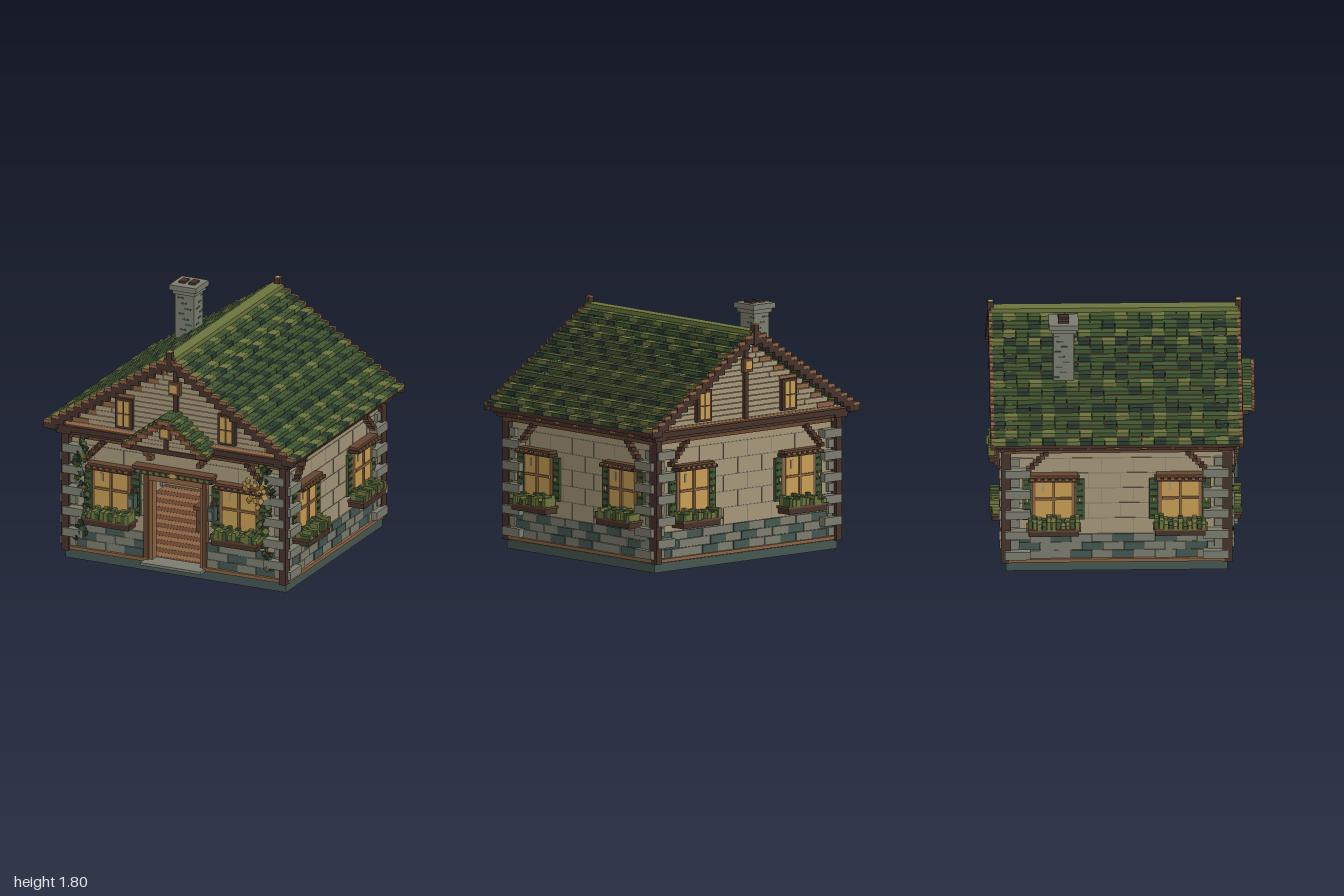
import * as THREE from 'three';
import { mergeGeometries } from 'three/addons/utils/BufferGeometryUtils.js';

const COLORS = {
  plaster: 0xa8987a, darkWood: 0x47322b, brownWood: 0x674630, lightWood: 0x8e6444, stone: 0x7d7e70,
  slate: 0x475853, amber: 0xc99f55, green: 0x425632, darkGreen: 0x2b3b2e, olive: 0x6d753e,
};

export function createModel() {
  const mats = {};
  for (const [name, color] of Object.entries(COLORS)) {
    mats[name] = new THREE.MeshStandardMaterial({ color });
    mats[name].name = name;
  }
  const bins = new Map();
  let M = new THREE.Matrix4(); // placement of the part being built
  const put = (part, mat, geo) => {
    const key = part + '|' + mat;
    if (!bins.has(key)) bins.set(key, []);
    bins.get(key).push(geo.applyMatrix4(M));
  };
  // block given by its extents
  const block = (part, mat, x0, x1, y0, y1, z0, z1) => {
    if (x1 < x0) [x0, x1] = [x1, x0];
    if (z1 < z0) [z0, z1] = [z1, z0];
    put(part, mat, new THREE.BoxGeometry(x1 - x0, y1 - y0, z1 - z0)
      .translate((x0 + x1) / 2, (y0 + y1) / 2, (z0 + z1) / 2));
  };
  let seed = 7;
  const rnd = () => (seed = (seed * 16807) % 2147483647) / 2147483647;
  const face = (angle, dist) => {
    M = new THREE.Matrix4().makeRotationY(angle).multiply(new THREE.Matrix4().makeTranslation(0, 0, dist));
  };
  const home = () => { M = new THREE.Matrix4(); };
  const HX = 0.86, HZ = 0.775;

  // window with shutters, hood and flower box, on the plane z = 0
  function windowUnit(u) {
    block('windowFrame', 'lightWood', u - 0.155, u + 0.155, 0.4, 0.725, 0, 0.022);
    block('windowPane', 'amber', u - 0.13, u + 0.13, 0.42, 0.715, 0.02, 0.028);
    block('windowFrame', 'lightWood', u - 0.009, u + 0.009, 0.42, 0.715, 0.02, 0.042);
    block('windowFrame', 'lightWood', u - 0.13, u + 0.13, 0.562, 0.58, 0.02, 0.04);
    block('windowGlint', 'plaster', u - 0.085, u - 0.065, 0.63, 0.69, 0.028, 0.032);
    block('windowHood', 'darkWood', u - 0.185, u + 0.185, 0.722, 0.745, 0, 0.085);
    block('windowHood', 'brownWood', u - 0.175, u + 0.175, 0.745, 0.765, 0, 0.065);
    for (let i = 0; i < 7; i++) block('windowHood', 'lightWood', u - 0.17 + i * 0.05, u - 0.14 + i * 0.05, 0.735, 0.755, 0.08, 0.095);
    for (const s of [-1, 1]) {
      block('shutter', 'green', u + s * 0.158, u + s * 0.222, 0.4, 0.715, 0, 0.022);
      for (let i = 0; i < 6; i++) block('shutterSlat', 'darkGreen', u + s * 0.168, u + s * 0.212, 0.42 + i * 0.05, 0.435 + i * 0.05, 0.02, 0.028);
      block('shutterKnob', 'amber', u + s * 0.18, u + s * 0.198, 0.545, 0.57, 0.02, 0.034);
    }
    block('flowerBox', 'darkWood', u - 0.18, u + 0.18, 0.31, 0.355, 0, 0.12);
    block('flowerBox', 'brownWood', u - 0.195, u + 0.195, 0.35, 0.366, 0, 0.127);
    for (let i = 0; i < 11; i++) {
      const x = u - 0.185 + i * 0.034, h = 0.39 + rnd() * 0.045;
      block('flowerBoxPlants', i % 3 ? 'olive' : 'green', x, x + 0.03, 0.36, h, 0.06, 0.115 + rnd() * 0.022);
      block('flowerBoxPlants', i % 2 ? 'green' : 'olive', x, x + 0.03, 0.36, h + 0.015, 0.02, 0.06);
    }
  }

  // one wall: plaster with joints, stone plinth, braces and top beam
  function wall(angle, dist, half, windows, brace, segments) {
    face(angle, dist);
    for (const [a, b] of segments) {
      block('wall', 'plaster', a, b, 0.07, 0.97, -0.05, 0);
      block('wallSill', 'lightWood', a, b, 0.07, 0.095, 0, 0.035);
      for (let r = 0; r < 5; r++) {
        const y = 0.4 + r * 0.118;
        block('wallJoint', 'stone', a, b, y, y + 0.006, 0, 0.003);
        for (let x = -half + (r % 2 ? 0.11 : 0.2); x < half; x += 0.23)
          if (x > a && x < b) block('wallJoint', 'stone', x, x + 0.005, y - 0.118, y, 0, 0.003);
      }
      for (let r = 0; r < 3; r++)
        for (let i = 0; i < 13; i++) {
          const x = -half - (r % 2) * 0.075 + i * 0.15;
          const x0 = Math.max(x, a), x1 = Math.min(x + 0.147, b), y = 0.095 + r * 0.063;
          if (x1 - x0 > 0.01) block('plinthStone', (i * 2 + r * 3) % 5 < 2 ? 'slate' : 'stone', x0, x1, y, y + 0.06, 0, 0.012 + (i + r) % 2 * 0.006);
        }
    }
    for (const u of windows) windowUnit(u);
    for (const s of [-1, 1])
      for (let i = 0; i < 7; i++) {
        const x = brace - i * 0.024, y = 0.76 + i * 0.025;
        block('wallBrace', i % 2 ? 'brownWood' : 'darkWood', s * (x - 0.018), s * (x + 0.018), y, y + 0.03, 0, 0.045);
      }
    block('topBeam', 'brownWood', -half - 0.04, half + 0.04, 0.93, 0.965, -0.05, 0.035);
    block('topBeam', 'darkWood', -half - 0.08, half + 0.08, 0.962, 1.0, -0.05, 0.065);
  }
  wall(0, HZ, HX, [-0.51, 0.51], 0.72, [[-HX, -0.22], [0.22, HX]]);
  wall(Math.PI, HZ, HX, [-0.51, 0.51], 0.72, [[-HX, HX]]);
  for (const s of [-1, 1]) wall(s * Math.PI / 2, HX, HZ, [-0.455, 0.455], 0.655, [[-HZ, HZ]]);

  // foundation, floor and ceiling
  home();
  block('foundation', 'slate', -0.88, 0.88, 0, 0.065, -0.795, 0.795);
  for (let i = 0; i < 19; i++)
    block('floorPlank', i % 2 ? 'lightWood' : 'brownWood', -0.82, 0.82, 0.06, 0.078, -0.76 + i * 0.08, -0.682 + i * 0.08);
  block('ceiling', 'brownWood', -0.84, 0.84, 0.945, 0.965, -0.76, 0.76);

  // corner posts and quoins
  for (const sx of [-1, 1]) for (const sz of [-1, 1]) {
    block('cornerPost', 'darkWood', sx * 0.84, sx * 0.895, 0.065, 0.965, sz * 0.76, sz * 0.832);
    for (let i = 0; i < 10; i++) {
      const y = 0.1 + i * 0.08, long = i % 2;
      block('quoin', 'stone', sx * (long ? 0.72 : 0.79), sx * (long ? 0.885 : 0.92), y, y + 0.062, sz * (long ? 0.7 : 0.62), sz * (long ? 0.845 : 0.805));
    }
  }

  // gables with planks, small windows and a lamp
  for (const angle of [0, Math.PI]) {
    face(angle, HZ);
    const tri = new THREE.Shape([[-0.88, 1], [0.88, 1], [0, 1.59]].map(p => new THREE.Vector2(...p)));
    put('gableBacking', 'brownWood', new THREE.ExtrudeGeometry(tri, { depth: 0.02, bevelEnabled: false }).translate(0, 0, -0.04));
    for (let k = 0; k < 15; k++) {
      const w = 0.92 - 0.0605 * k, y = 1.0 + 0.039 * k, e = Math.min(w * 0.45, 0.1 + (k % 3) * 0.06);
      block('gablePlank', 'plaster', -w + e, w - e, y, y + 0.035, -0.03, 0.005);
      for (const s of [-1, 1]) block('gableEdgePlank', k % 2 ? 'lightWood' : 'plaster', s * w, s * (w - e), y, y + 0.035, -0.03, 0.01);
    }
    block('gableBeam', 'darkWood', -0.95, 0.95, 0.985, 1.025, -0.04, 0.085);
    block('gableBeam', 'lightWood', -0.93, 0.93, 1.02, 1.034, -0.04, 0.07);
    block('gablePost', 'darkWood', -0.017, 0.017, 1.02, 1.62, 0, 0.03);
    block('gableLamp', 'brownWood', -0.045, 0.045, 1.375, 1.475, 0.02, 0.05);
    block('gableLamp', 'amber', -0.03, 0.03, 1.395, 1.455, 0.05, 0.058);
    for (const u of [-0.41, 0.41]) {
      block('gableWindowFrame', 'darkWood', u - 0.07, u + 0.07, 1.055, 1.285, 0, 0.035);
      for (const sx of [-1, 1]) for (const sy of [0, 1])
        block('gableWindowPane', 'amber', u + sx * 0.005, u + sx * 0.046, 1.075 + sy * 0.1, 1.165 + sy * 0.1, 0.03, 0.041);
    }
  }

  // main roof: stepped tile courses, verge boards and eaves
  home();
  for (const s of [-1, 1]) {
    for (let i = 0; i < 16; i++) {
      const x = 1 - i * 0.06, y = 1.035 + i * 0.039;
      for (let j = 0; j < 20; j++) {
        const k = (i * 7 + j * 4 + (i * j) % 3) % 12, z = -0.89 + j * 0.089;
        block('roofTile', k < 2 ? 'olive' : k < 5 ? 'darkGreen' : 'green', s * x, s * (x - 0.068), y, y + 0.032, z, z + 0.0875);
      }
      for (const sz of [-1, 1]) {
        block('vergeBoard', 'darkWood', s * x, s * (x - 0.1), y - 0.03, y + 0.012, sz * 0.875, sz * 0.91);
        block('vergeCap', 'lightWood', s * x, s * (x - 0.075), y + 0.012, y + 0.035, sz * 0.88, sz * 0.907);
      }
    }
    block('eaveBoard', 'darkWood', s * 0.92, s * 0.965, 0.998, 1.036, -0.9, 0.9);
    for (let j = 0; j < 9; j++) block('rafterTail', 'lightWood', s * 0.85, s * 0.94, 0.975, 1.0, -0.82 + j * 0.2, -0.78 + j * 0.2);
  }
  block('ridgeCap', 'olive', -0.045, 0.045, 1.655, 1.688, -0.89, 0.89);
  for (const s of [-1, 1]) {
    block('ridgePost', 'darkWood', -0.022, 0.022, 1.58, 1.73, s * 0.87, s * 0.912);
    block('ridgePost', 'brownWood', -0.045, 0.045, 1.645, 1.675, s * 0.872, s * 0.908);
    block('ridgePostCap', 'amber', -0.018, 0.018, 1.73, 1.736, s * 0.873, s * 0.909);
  }

  // chimney
  const cz = -0.375;
  block('chimney', 'stone', -0.535, -0.385, 1.25, 1.74, cz - 0.075, cz + 0.075);
  for (let i = 0; i < 9; i++) for (const s of [-1, 1]) {
    const x = -0.52 + (i * 0.05) % 0.08, y = 1.36 + i * 0.04;
    block('chimneyBrick', 'slate', x, x + 0.05, y, y + 0.012, cz + s * 0.07, cz + s * 0.078);
    block('chimneyBrick', 'slate', -0.46 + s * 0.07, -0.46 + s * 0.078, y, y + 0.012, cz + x + 0.44, cz + x + 0.49);
  }
  block('chimneyCap', 'stone', -0.55, -0.37, 1.715, 1.745, cz - 0.09, cz + 0.09);
  block('chimneyCap', 'stone', -0.568, -0.355, 1.745, 1.785, cz - 0.107, cz + 0.107);
  for (const x of [-0.5, -0.42]) block('flue', 'darkWood', x - 0.024, x + 0.024, 1.78, 1.8, cz - 0.04, cz + 0.04);

  // porch roof over the door
  for (let i = 0; i < 8; i++) {
    const x = 0.335 - i * 0.041, y = 1.0 + i * 0.031;
    for (const s of [-1, 1]) {
      for (let j = 0; j < 3; j++) block('porchTile', (i + j * 2) % 4 ? 'green' : 'olive', s * x, s * Math.max(x - 0.055, 0), y, y + 0.026, 0.775 + j * 0.07, 0.843 + j * 0.07);
      block('porchVerge', i % 2 ? 'lightWood' : 'brownWood', s * x, s * Math.max(x - 0.075, 0), y - 0.012, y + 0.018, 0.982, 1.005);
    }
    if (i < 7) block('porchGable', 'plaster', -x + 0.05, x - 0.05, y, y + 0.029, 0.775, 0.95);
  }
  block('porchBeam', 'darkWood', -0.32, 0.32, 0.965, 1.0, 0.775, 0.96);
  block('porchLamp', 'darkWood', -0.017, 0.017, 1.0, 1.22, 0.94, 0.96);
  block('porchLamp', 'brownWood', -0.045, 0.045, 1.085, 1.185, 0.95, 0.975);
  block('porchLamp', 'amber', -0.03, 0.03, 1.105, 1.165, 0.975, 0.983);

  // doorway, side lanterns and step
  block('wallOverDoor', 'plaster', -0.22, 0.22, 0.74, 0.97, 0.725, 0.775);
  block('doorLintel', 'lightWood', -0.25, 0.25, 0.69, 0.75, 0.72, 0.8);
  block('doorLintel', 'darkWood', -0.31, 0.31, 0.745, 0.785, 0.77, 0.84);
  block('doorLintel', 'brownWood', -0.32, 0.32, 0.785, 0.808, 0.77, 0.86);
  for (let i = 0; i < 12; i++) block('lintelMoss', 'olive', -0.29 + i * 0.05, -0.26 + i * 0.05, 0.755, 0.775, 0.838, 0.846);
  block('doorPlate', 'amber', -0.024, 0.024, 0.75, 0.785, 0.846, 0.853);
  block('doorStep', 'stone', -0.24, 0.24, 0.065, 0.085, 0.72, 0.885);
  for (const s of [-1, 1]) {
    block('doorPost', 'lightWood', s * 0.19, s * 0.215, 0.07, 0.75, 0.72, 0.79);
    block('doorPost', 'brownWood', s * 0.215, s * 0.25, 0.07, 0.75, 0.72, 0.81);
    for (let i = 0; i < 4; i++) block('porchBrace', 'brownWood', s * (0.18 + i * 0.025), s * (0.215 + i * 0.025), 0.85 + i * 0.03, 0.885 + i * 0.03, 0.775, 0.83);
    block('lantern', 'slate', s * 0.295, s * 0.345, 0.48, 0.585, 0.82, 0.88);
    block('lantern', 'stone', s * 0.305, s * 0.335, 0.5, 0.555, 0.88, 0.886);
    block('lanternArm', 'darkWood', s * 0.31, s * 0.33, 0.585, 0.62, 0.775, 0.86);
  }

  // fireplace and table indoors
  block('chimneyBreast', 'stone', -0.3, 0.3, 0.46, 0.94, -0.73, -0.62);
  block('mantel', 'lightWood', -0.28, 0.28, 0.43, 0.49, -0.73, -0.55);
  block('hearth', 'darkWood', -0.2, 0.2, 0.08, 0.36, -0.73, -0.7);
  block('clock', 'darkWood', -0.045, 0.045, 0.49, 0.59, -0.61, -0.57);
  block('clock', 'plaster', -0.03, 0.03, 0.51, 0.57, -0.57, -0.565);
  block('table', 'brownWood', -0.2, 0.19, 0.24, 0.27, -0.2, 0.1);
  for (const s of [-1, 1]) {
    block('fireplacePillar', 'stone', s * 0.13, s * 0.22, 0.08, 0.43, -0.73, -0.58);
    for (const z of [-0.18, 0.06]) block('tableLeg', 'brownWood', s * 0.15, s * 0.18, 0.075, 0.24, z, z + 0.03);
  }
  block('tableRail', 'darkWood', -0.16, 0.16, 0.14, 0.165, 0.06, 0.09);

  // climbing ivy with blossoms on one side
  const leaf = (part, mat, x, y, z, r) => put(part, mat, new THREE.BoxGeometry(r * 2, r * 2, r * 0.8)
    .rotateZ(rnd() * 3).rotateY(rnd() - 0.5).translate(x, y, z));
  for (const s of [-1, 1])
    for (let i = 0; i < 85; i++) {
      const y = 0.17 + 0.8 * rnd(), x = s * (0.73 + 0.03 * Math.sin(y * 11) + (rnd() - 0.5) * 0.07);
      leaf('ivy', ['darkGreen', 'darkGreen', 'green', 'olive'][i % 4], x, y, 0.8 + rnd() * 0.04, 0.012 + rnd() * 0.009);
    }
  for (let i = 0; i < 24; i++) leaf('blossom', 'amber', 0.57 + rnd() * 0.18, 0.63 + rnd() * 0.2, 0.83 + rnd() * 0.03, 0.013 + rnd() * 0.007);

  const house = new THREE.Group();
  house.name = 'house';
  for (const [key, geos] of bins) {
    const [part, mat] = key.split('|');
    const mesh = new THREE.Mesh(mergeGeometries(geos.map(g => (g.index ? g.toNonIndexed() : g))), mats[mat]);
    mesh.name = part;
    house.add(mesh);
  }
  house.position.z = -0.045;
  const model = new THREE.Group();
  model.name = 'cottage';
  model.add(house);
  return model;
}
